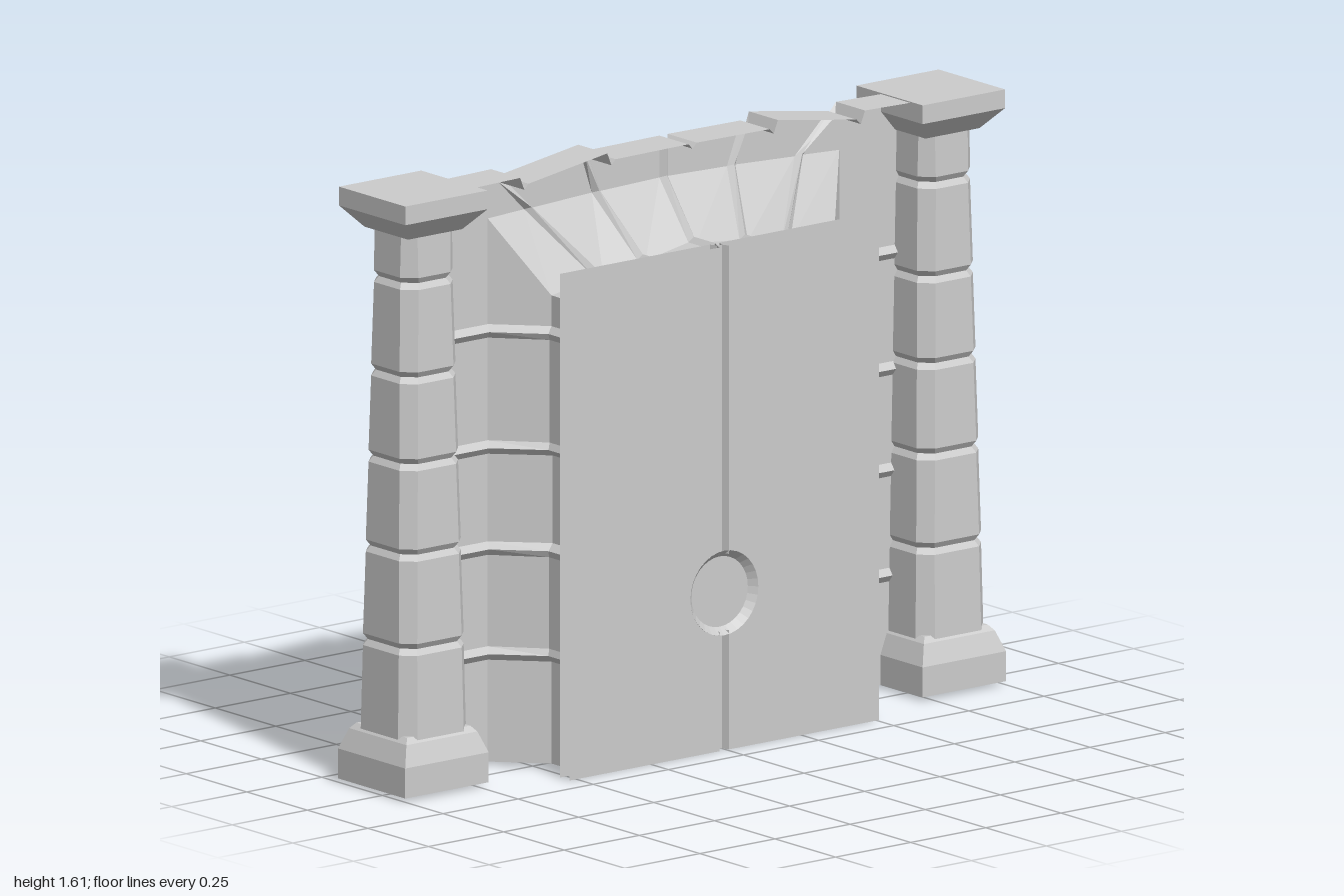
import * as THREE from 'three';

const mat = new THREE.MeshStandardMaterial({ color: 0xcccccc, flatShading: true, side: THREE.DoubleSide });

function add(parent, name, geometry) {
  const mesh = new THREE.Mesh(geometry, mat);
  mesh.name = name;
  parent.add(mesh);
  return mesh;
}

// Faceted skin through a list of cross-sections, each a list of [x, y, z]
function loft(sections, closed = false) {
  const pos = [];
  const tri = (a, b, c) => pos.push(...a, ...b, ...c);
  const n = sections[0].length;
  for (let i = 0; i < sections.length - 1; i++) {
    for (let j = 0; j < (closed ? n : n - 1); j++) {
      const k = (j + 1) % n;
      const [a, b, c, d] = [sections[i][j], sections[i][k], sections[i + 1][k], sections[i + 1][j]];
      tri(a, b, c);
      tri(a, c, d);
    }
  }
  if (closed) {
    const first = sections[0], last = sections[sections.length - 1];
    for (let j = 1; j < n - 1; j++) {
      tri(first[0], first[j + 1], first[j]);
      tri(last[0], last[j], last[j + 1]);
    }
  }
  const g = new THREE.BufferGeometry();
  g.setAttribute('position', new THREE.Float32BufferAttribute(pos, 3));
  g.computeVertexNormals();
  return g;
}

// Square ring with half width h and corners cut by c
function ring([y, h, c]) {
  const k = h - c;
  return [[-k, h], [k, h], [h, k], [h, -k], [k, -h], [-k, -h], [-h, -k], [-h, k]].map(([x, z]) => [x, y, z]);
}

function makePillar() {
  const pillar = new THREE.Group();
  pillar.name = 'pillar';
  add(pillar, 'pillarBase', loft([[0.01, 0.139, 0], [0.09, 0.139, 0], [0.145, 0.118, 0], [0.16, 0.105, 0]].map(ring), true));

  // Tapered shaft of stacked stones with grooved joints
  const half = y => 0.113 - (y - 0.15) * 0.021;
  const rows = [[0.15, half(0.15), 0.036]];
  for (const y of [0.39, 0.64, 0.88, 1.11, 1.36]) {
    rows.push([y - 0.016, half(y), 0.034], [y, half(y) - 0.01, 0.032], [y + 0.016, half(y), 0.034]);
  }
  rows.push([1.5, half(1.5), 0.03]);
  add(pillar, 'pillarShaft', loft(rows.map(ring), true));

  add(pillar, 'pillarCap', loft([[1.485, 0.09, 0], [1.54, 0.137, 0], [1.59, 0.137, 0]].map(ring), true));
  return pillar;
}

// Side wall that folds forward and inward to the edge of the doorway
function makeJamb(s) {
  const section = (y, groove, shift, tops) => {
    const g = groove;
    const p = [
      [0.82, -0.08 + g],
      [0.585 + g * 0.4, -0.08 + g],
      [0.47 + g + shift, 0.04 + g * 0.4],
      [0.47 + g + shift, 0.135],
    ].map(([x, z], i) => [s * x, tops ? tops[i] : y, z]);
    return s < 0 ? p.reverse() : p;
  };
  const joints = [0.3, 0.58, 0.85, 1.16];
  const shifts = [0, 0.008, -0.004, 0.006, 0];
  const rows = [section(0.01, 0, 0)];
  joints.forEach((y, i) => {
    rows.push(section(y - 0.018, 0, shifts[i]), section(y, 0.014, 0), section(y + 0.018, 0, shifts[i + 1]));
  });
  rows.push(section(0, 0, 0, [1.585, 1.46, 1.26, 1.26]));
  return loft(rows);
}

// Arch of wedge stones: top ledge, back face, sloped face and underside
function makeArch() {
  const section = (xt, yt, xa, ya, xb, yb, g = 0) => [
    [xt, yt - g, 0.04],
    [xt, yt - g, -0.08 + g],
    [xa, ya + g * 0.4, -0.08 + g],
    [xb, yb + g, 0.04 + g * 0.4],
    [xb, yb + g, 0.135],
  ];
  // Joint: top x, top y outside and inside, fold x and y, bottom x and y
  const side = [
    [0.56, 1.59, 1.57, 0.45, 1.466, 0.31, 1.283],
    [0.27, 1.61, 1.59, 0.225, 1.475, 0.17, 1.31],
  ];
  const mid = [0, 1.592, 1.592, 0, 1.48, 0, 1.33];
  const mirrored = side.map(([t, o, i, a, ya, b, yb]) => [-t, i, o, -a, ya, -b, yb]).reverse();
  const e = 0.014;
  const rows = [section(0.82, 1.585, 0.585, 1.46, 0.47, 1.26)];
  for (const [xt, y0, y1, xa, ya, xb, yb] of [...side, mid, ...mirrored]) {
    rows.push(
      section(xt + e, y0, xa + e, ya, xb + e, yb - 0.006),
      section(xt, Math.min(y0, y1), xa, ya, xb, yb, 0.014),
      section(xt - e, y1, xa - e, ya, xb - e, yb));
  }
  rows.push(section(-0.82, 1.585, -0.585, 1.46, -0.47, 1.26));
  return loft(rows);
}

// Double door of two thin skins, with a centre seam and a round recess
function makeDoor() {
  const door = new THREE.Group();
  door.name = 'door';
  const W = 0.515, H = 1.345, gap = 0.016, R = 0.113, cy = 0.42;
  const h = Math.sqrt(R * R - gap * gap), a = Math.acos(gap / R);
  const leaf = new THREE.Shape();
  leaf.moveTo(gap, 0);
  leaf.lineTo(W, 0);
  leaf.lineTo(W, H);
  leaf.lineTo(gap, H);
  leaf.lineTo(gap, cy + h);
  leaf.absarc(0, cy, R, a, -a, true);
  leaf.closePath();
  for (const z of [0.18, 0.14]) {
    for (const turn of [0, Math.PI]) {
      const g = new THREE.ShapeGeometry(leaf, 16);
      g.rotateY(turn);
      add(door, z > 0.16 ? 'doorFront' : 'doorBack', g).position.z = z;
    }
  }

  // Seam walls and floor, below and above the recess
  for (const [y0, y1] of [[0, cy - h + 0.01], [cy + h - 0.01, H]]) {
    for (const z of [0.18, 0.14]) {
      const strip = y => [[-gap, y, z], [-gap * 0.5, y, 0.16], [gap * 0.5, y, 0.16], [gap, y, z]];
      add(door, 'doorSeam', loft([strip(y0), strip(y1)]));
    }
  }

  // Round recess, flared to both faces
  const rim = new THREE.LatheGeometry(
    [[R, 0.14], [0.094, 0.16], [R, 0.18]].map(([r, z]) => new THREE.Vector2(r, z)), 32);
  rim.rotateX(Math.PI / 2);
  add(door, 'recessRim', rim).position.y = cy;
  add(door, 'recessDisc', new THREE.CircleGeometry(0.094, 32)).position.set(0, cy, 0.16);
  door.position.x = -0.007;
  return door;
}

export function createModel() {
  const model = new THREE.Group();
  model.name = 'stoneGate';
  for (const s of [1, -1]) {
    const pillar = makePillar();
    pillar.position.set(s * 0.861, 0, -0.045);
    model.add(pillar);
    add(model, s > 0 ? 'leftJamb' : 'rightJamb', makeJamb(s));
  }
  add(model, 'arch', makeArch());
  model.add(makeDoor());
  return model;
}
